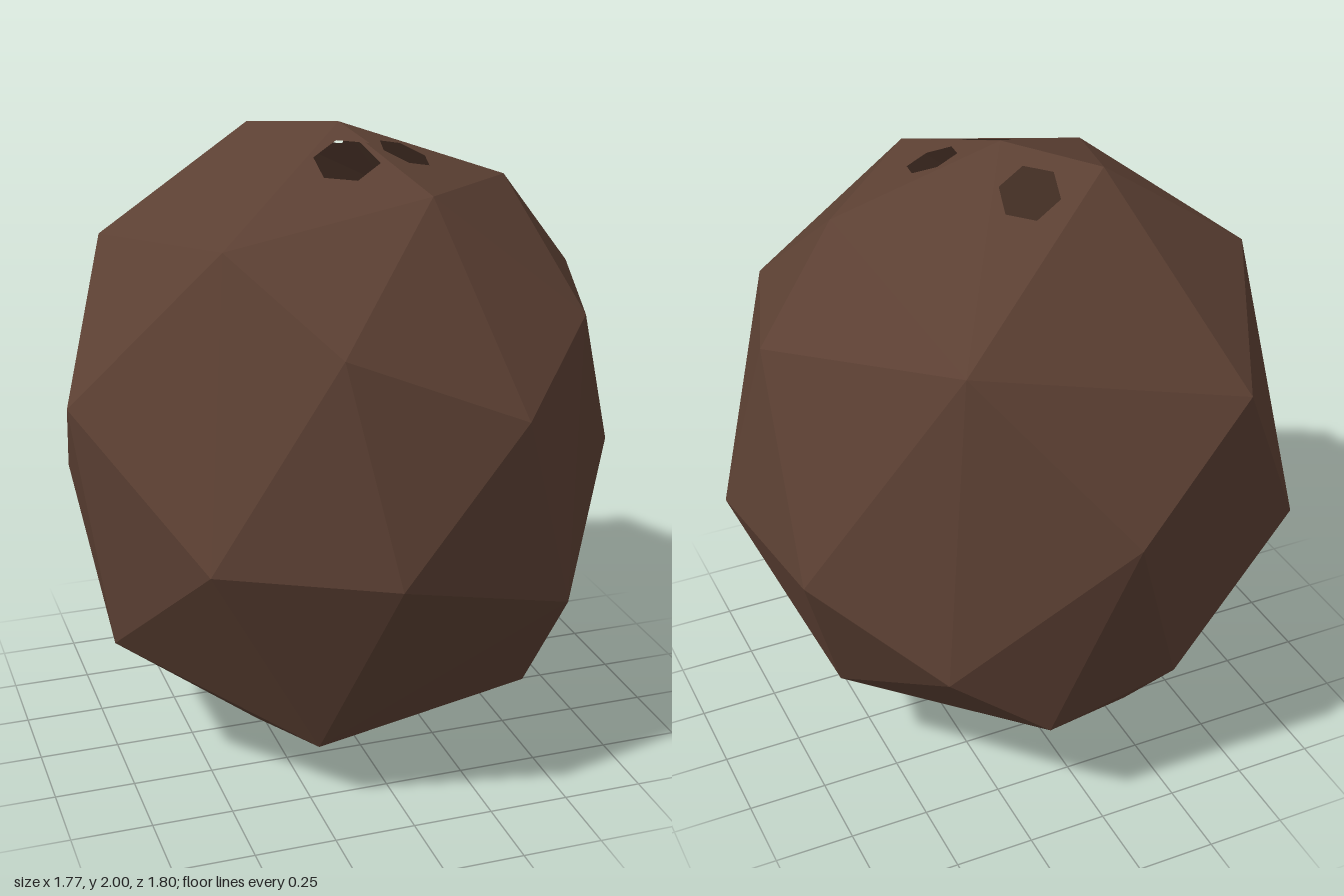
import * as THREE from 'three';
import { ConvexGeometry } from 'three/addons/geometries/ConvexGeometry.js';

// Corners of the faceted husk, from the crown down to the base
const corners = [
  [0, 2, 0.02], [-0.22, 1.97, -0.21], [0.51, 1.82, 0.09], [0.14, 1.86, 0.45],
  [-0.48, 1.75, 0.45], [0.39, 1.63, -0.61], [-0.69, 1.65, -0.23], [0.775, 1.5, 0],
  [0.61, 1.48, 0.5], [0.3, 1.29, 0.82], [-0.23, 1.51, 0.77], [-0.445, 1.43, -0.73],
  [-0.89, 1.25, 0.2], [-0.015, 1.13, -0.9], [-0.6, 0.89, 0.7], [-0.1, 0.86, 0.9],
  [0.885, 0.92, 0.13], [0.81, 0.895, -0.37], [-0.775, 0.795, -0.5], [0.49, 0.66, 0.72],
  [0.49, 0.66, -0.69], [-0.79, 0.5, 0.25], [-0.24, 0.5, -0.73], [0.18, 0.41, -0.73],
  [0.65, 0.36, -0.18], [-0.68, 0.34, -0.16], [0.47, 0.27, 0.46], [-0.24, 0.21, 0.56],
  [-0.25, 0.135, -0.41], [0.245, 0.0, -0.02], [-0.28, 0.015, 0],
];

// Three hexagonal openings in the crown, placed in plan
const openings = [
  { x: -0.035, z: 0.203, r: 0.1, turn: -Math.PI / 2 },
  { x: 0.165, z: 0.145, r: 0.079, turn: -1.38 },
  { x: 0, z: -0.18, r: 0.093, turn: -1.35 },
];

function hexagon({ x, z, r, turn }) {
  return Array.from({ length: 6 }, (_, i) => {
    const a = turn + i * Math.PI / 3;
    return new THREE.Vector2(x + r * Math.cos(a), z + r * Math.sin(a));
  });
}

// Triangles of one facet with an opening cut through it
function cutFacet(tri, opening) {
  const plane = tri.getPlane(new THREE.Plane());
  const n = plane.normal;
  const lift = (p) => new THREE.Vector3(p.x, -(plane.constant + n.x * p.x + n.z * p.y) / n.y, p.y);
  const outline = [tri.a, tri.b, tri.c].map((p) => new THREE.Vector2(p.x, p.z));
  const hole = hexagon(opening);
  if (THREE.ShapeUtils.isClockWise(outline)) outline.reverse();
  if (!THREE.ShapeUtils.isClockWise(hole)) hole.reverse();
  const points = [...outline, ...hole].map(lift);
  return THREE.ShapeUtils.triangulateShape(outline, [hole]).map(([i, j, k]) => {
    const t = new THREE.Triangle(points[i], points[j], points[k]);
    const facing = t.getNormal(new THREE.Vector3()).dot(n);
    return facing > 0 ? t : new THREE.Triangle(points[i], points[k], points[j]);
  });
}

export function createModel() {
  const group = new THREE.Group();
  group.name = 'coconut';

  const husk = new THREE.MeshStandardMaterial({ color: 0x5c4033, side: THREE.DoubleSide, flatShading: true });
  husk.name = 'husk brown';

  const hull = new ConvexGeometry(corners.map((c) => new THREE.Vector3(...c)));
  const pos = hull.attributes.position;
  const facets = [];
  for (let i = 0; i < pos.count; i += 3) {
    const [a, b, c] = [0, 1, 2].map((k) => new THREE.Vector3().fromBufferAttribute(pos, i + k));
    const tri = new THREE.Triangle(a, b, c);
    const flat = new THREE.Triangle(...[a, b, c].map((p) => new THREE.Vector3(p.x, 0, p.z)));
    const up = tri.getNormal(new THREE.Vector3()).y;
    const opening = up > 0.3 && openings.find((o) => flat.containsPoint(new THREE.Vector3(o.x, 0, o.z)));
    facets.push(...(opening ? cutFacet(tri, opening) : [tri]));
  }

  // Thin hollow shell, open at the three holes
  const geometry = new THREE.BufferGeometry().setFromPoints(facets.flatMap((t) => [t.a, t.b, t.c]));
  geometry.computeVertexNormals();
  const shell = new THREE.Mesh(geometry, husk);
  shell.name = 'huskShell';
  group.add(shell);
  return group;
}
